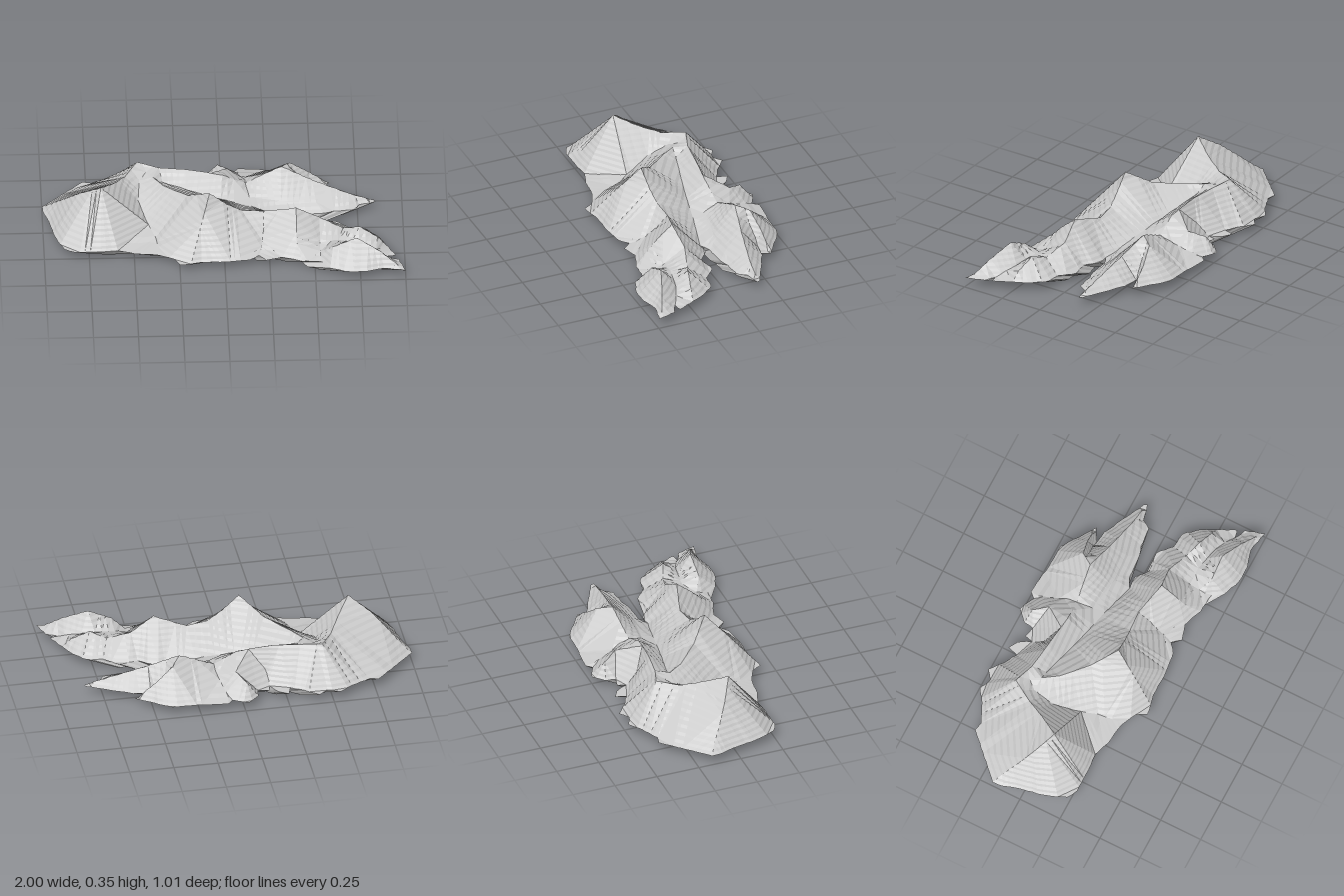
import * as THREE from 'three';

const SEA = 0.058, STEP = 0.025;

// Coastline (x, z), clockwise as seen from above, starting at the western tip
const COAST = [
  [-1, -.17], [-.91, -.26], [-.77, -.4], [-.72, -.39], [-.61, -.44], [-.54, -.49], [-.47, -.46], [-.42, -.5],
  [-.34, -.44], [-.27, -.4], [-.25, -.46], [-.2, -.43], [-.16, -.36], [-.15, -.41], [-.09, -.39], [-.08, -.45],
  [-.02, -.51], [.07, -.47], [.1, -.5], [.3, -.48], [.41, -.48], [.6, -.35], [.5, -.315], [.6, -.3], [.84, -.18],
  [.85, -.16], [.76, -.14], [.73, -.09], [.62, -.08], [.56, -.06], [.43, -.055], [.37, -.025], [.44, -.03],
  [.51, .03], [.62, .01], [.7, .08], [.79, .09], [.86, .17], [.95, .35], [.9, .36], [.965, .39], [1, .495],
  [.88, .47], [.78, .5], [.68, .5], [.58, .46], [.54, .4], [.43, .39], [.32, .35], [.23, .375], [.19, .33],
  [.14, .37], [.03, .385], [-.13, .385], [-.25, .41], [-.28, .35], [-.37, .31], [-.5, .29], [-.59, .26],
  [-.72, .27], [-.83, .27], [-.89, .24], [-.94, .11], [-.96, 0], [-1, -.13]];

// Crest lines (x, height, z)
const RIDGES = [
  [[-.95, .1, -.14], [-.88, .175, -.08], [-.8, .255, -.02], [-.68, .34, .05], [-.6, .285, -.07], [-.54, .25, -.18], [-.47, .26, -.3]],
  [[-.47, .26, -.3], [-.35, .25, -.26], [-.2, .25, -.24], [0, .22, -.22], [.13, .155, -.23]],
  [[.13, .155, -.23], [.23, .205, -.24], [.33, .25, -.25], [.38, .225, -.32], [.48, .145, -.345], [.57, .08, -.35]],
  [[.33, .25, -.25], [.5, .18, -.215], [.7, .11, -.18], [.8, .08, -.17]],
  [[-.42, .235, -.24], [-.33, .24, -.1], [-.2, .265, .03], [-.08, .355, .14]],
  [[-.08, .355, .14], [.02, .27, .13], [.1, .22, .12], [.22, .205, .11], [.4, .26, .16], [.53, .18, .14], [.66, .13, .18]],
  [[.66, .13, .18], [.75, .165, .215], [.85, .11, .24]],
  [[.4, .26, .16], [.4, .195, .24], [.4, .125, .31]],
  [[.6, .14, .37], [.73, .2, .37], [.86, .14, .42], [.95, .08, .46]],
  [[-.08, .355, .14], [-.13, .22, .26]],
  [[-.02, .14, -.43], [.03, .17, -.35]]];

// Gully floors (x, height, z)
const GULLIES = [
  [[-.36, .065, .28], [-.38, .08, .17], [-.43, .115, .05], [-.47, .165, -.07], [-.46, .215, -.19]],
  [[-.33, .205, -.18], [-.08, .15, -.12], [.17, .105, -.07], [.3, .07, -.04]],
  [[.2, .065, .31], [.21, .095, .24], [.22, .14, .18]],
  [[.53, .075, .36], [.53, .1, .27], [.63, .115, .27], [.78, .1, .3], [.87, .075, .34]],
  [[.48, .1, -.312], [.42, .16, -.3]],
  [[.15, .125, -.14], [.36, .105, -.11], [.52, .1, -.115]],
  [[-.16, .08, -.335], [-.15, .125, -.29]],
  [[.09, .075, -.45], [.11, .105, -.36], [.13, .14, -.28]]];

const wobble = (i, a) => a * Math.sin(i * 12.9898 + Math.sin(i * 4.7) * 3);

// Evenly spaced points along a polyline
function densify(line, gap) {
  const out = [];
  for (let i = 0; i < line.length - 1; i++) {
    const a = new THREE.Vector3(...line[i]), b = new THREE.Vector3(...line[i + 1]);
    const n = Math.max(1, Math.round(a.distanceTo(b) / gap));
    for (let k = 0; k < n; k++) out.push(a.clone().lerp(b, k / n));
  }
  out.push(new THREE.Vector3(...line[line.length - 1]));
  return out;
}

function inside(x, z, poly) {
  let hit = false;
  poly.forEach((a, i) => {
    const b = poly[(i + 1) % poly.length];
    if ((a.z > z) !== (b.z > z) && x < a.x + (b.x - a.x) * (z - a.z) / (b.z - a.z)) hit = !hit;
  });
  return hit;
}

// Delaunay triangulation in plan
function triangulate(points) {
  const n = points.length;
  const p = [...points, new THREE.Vector3(-30, 0, -20), new THREE.Vector3(30, 0, -21), new THREE.Vector3(1, 0, 40)];
  const circle = (i, j, k) => {
    const a = p[i], bx = p[j].x - a.x, bz = p[j].z - a.z, cx = p[k].x - a.x, cz = p[k].z - a.z;
    const d = 2 * (bx * cz - bz * cx), b2 = bx * bx + bz * bz, c2 = cx * cx + cz * cz;
    const ux = (cz * b2 - bz * c2) / d, uz = (bx * c2 - cx * b2) / d;
    return { v: [i, j, k], x: a.x + ux, z: a.z + uz, r: ux * ux + uz * uz };
  };
  let tris = [circle(n, n + 1, n + 2)];
  for (let i = 0; i < n; i++) {
    const edges = new Map();
    tris = tris.filter(t => {
      if ((p[i].x - t.x) ** 2 + (p[i].z - t.z) ** 2 >= t.r) return true;
      t.v.forEach((a, e) => {
        const b = t.v[(e + 1) % 3], key = Math.min(a, b) + '_' + Math.max(a, b);
        if (edges.has(key)) edges.delete(key); else edges.set(key, [a, b]);
      });
      return false;
    });
    for (const [a, b] of edges.values()) tris.push(circle(a, b, i));
  }
  return tris.map(t => t.v).filter(v => v.every(i => i < n));
}

// Cut a convex polygon by a horizontal plane into [below, above]
function cut(poly, y) {
  const low = [], high = [];
  poly.forEach((a, i) => {
    const b = poly[(i + 1) % poly.length];
    if (a.y <= y) low.push(a);
    if (a.y >= y) high.push(a);
    if ((a.y - y) * (b.y - y) < 0) {
      const m = a.clone().lerp(b, (y - a.y) / (b.y - a.y));
      m.y = y;
      low.push(m); high.push(m);
    }
  });
  return [low, high];
}

// Alternating gentle and steep contour bands
function terrace(y) {
  const t = Math.max(0, y - SEA) / STEP, k = Math.floor(t + 1e-6), f = t - k;
  return SEA + STEP * (k + (f < .65 ? f * .5 / .65 : .5 + (f - .65) * .5 / .35));
}

function makeMesh(name, pos) {
  const g = new THREE.BufferGeometry();
  g.setAttribute('position', new THREE.Float32BufferAttribute(pos, 3));
  g.computeVertexNormals();
  const mesh = new THREE.Mesh(g, new THREE.MeshStandardMaterial({ color: 0xcccccc, flatShading: true, side: THREE.DoubleSide }));
  mesh.name = name;
  return mesh;
}

// Add a triangle whose normal points up (dir 1) or down (dir -1)
function addTri(pos, a, b, c, dir) {
  const up = (b.z - a.z) * (c.x - a.x) - (b.x - a.x) * (c.z - a.z);
  for (const v of up * dir >= 0 ? [a, b, c] : [a, c, b]) pos.push(v.x, v.y, v.z);
}

export function createModel() {
  const group = new THREE.Group();
  group.name = 'island';

  const coast = densify([...COAST, COAST[0]].map(([x, z]) => [x, SEA, z]), .03).slice(0, -1);
  coast.forEach((v, i) => {
    v.x = THREE.MathUtils.clamp(v.x + wobble(i, .002), -1, 1);
    v.z += wobble(i + 500, .002);
  });

  // Mountains: crests and gullies joined to the coast, sliced into contour bands
  const points = [...coast];
  [...RIDGES, ...GULLIES].forEach(line => densify(line, .035).forEach(v => {
    v.x += wobble(points.length, .0005);
    v.z += wobble(points.length + 300, .0005);
    if (inside(v.x, v.z, coast) && points.every(q => Math.hypot(q.x - v.x, q.z - v.z) > .012)) points.push(v);
  }));
  const land = [];
  for (const tri of triangulate(points)) {
    const [a, b, c] = tri.map(i => points[i]);
    if (!inside((a.x + b.x + c.x) / 3, (a.z + b.z + c.z) / 3, coast)) continue;
    let rest = [a, b, c];
    const bands = [];
    for (let k = 0; k < 13; k++) for (const f of [.65, 1]) {
      const [low, high] = cut(rest, SEA + STEP * (k + f));
      if (low.length > 2) bands.push(low);
      rest = high;
    }
    if (rest.length > 2) bands.push(rest);
    for (const band of bands) {
      const q = band.map(v => new THREE.Vector3(v.x, terrace(v.y), v.z));
      for (let i = 1; i < q.length - 1; i++) addTri(land, q[0], q[i], q[i + 1], 1);
    }
  }
  group.add(makeMesh('mountains', land));

  // Base: wall tapering in to a smaller flat underside
  const foot = coast.map(v => new THREE.Vector3(v.x * .79, 0, v.z * .79));
  const wall = [];
  coast.forEach((a, i) => {
    const j = (i + 1) % coast.length;
    for (const v of [a, coast[j], foot[i], coast[j], foot[j], foot[i]]) wall.push(v.x, v.y, v.z);
  });
  group.add(makeMesh('taperedBase', wall));

  const floor = [];
  const flat = foot.map(v => new THREE.Vector2(v.x, v.z));
  for (const [a, b, c] of THREE.ShapeUtils.triangulateShape(flat, [])) addTri(floor, foot[a], foot[b], foot[c], -1);
  group.add(makeMesh('underside', floor));
  return group;
}
